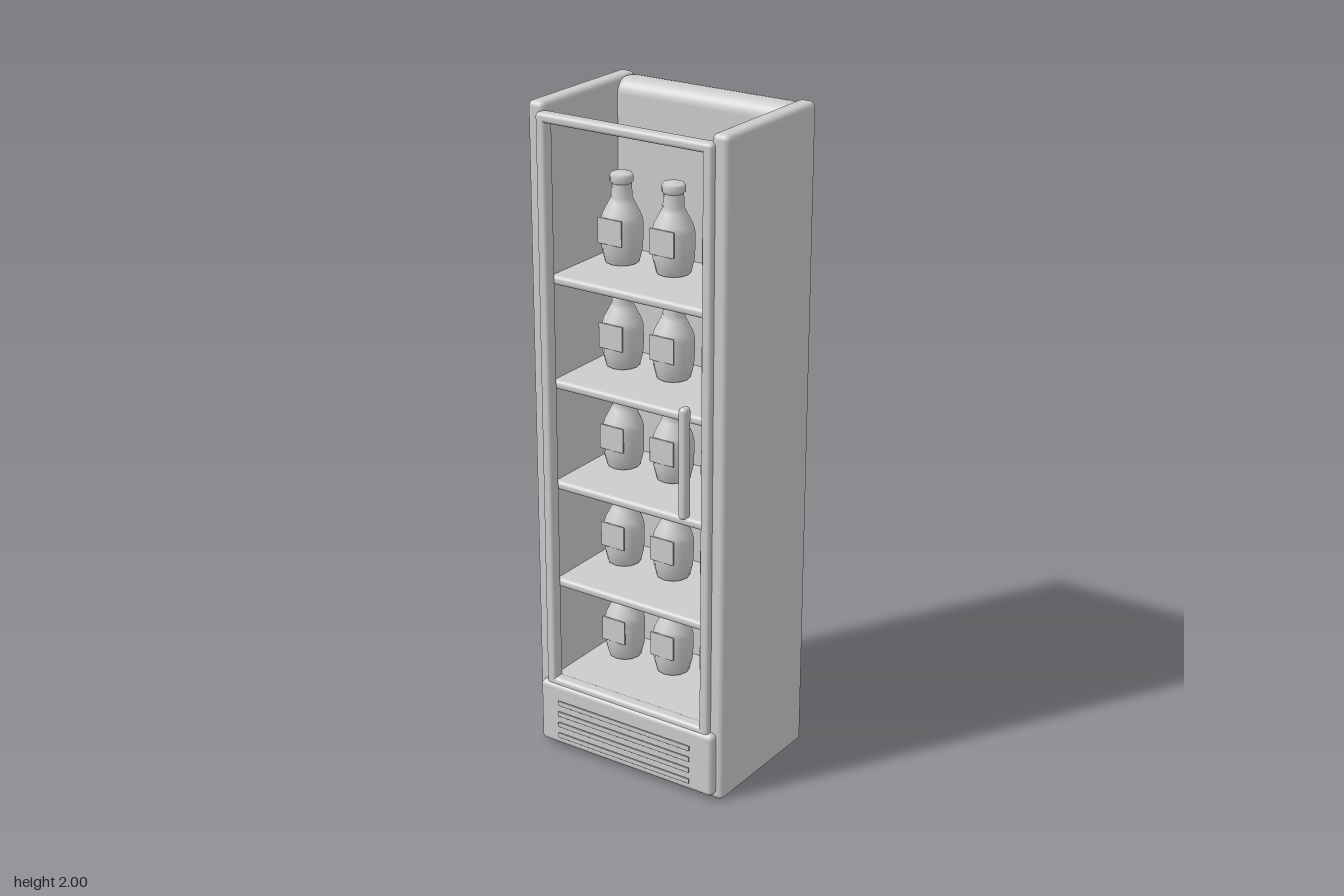
import * as THREE from 'three';
import { RoundedBoxGeometry } from 'three/addons/geometries/RoundedBoxGeometry.js';

export function createModel() {
  const grey = new THREE.MeshStandardMaterial({ color: 0xcccccc });
  grey.name = 'light grey';
  const model = new THREE.Group();
  model.name = 'displayCooler';

  // Rounded box given by its min and max corner
  function block(name, min, max, radius) {
    const s = max.map((v, i) => v - min[i]);
    const mesh = new THREE.Mesh(new RoundedBoxGeometry(s[0], s[1], s[2], 3, radius), grey);
    mesh.position.set(...min.map((v, i) => (v + max[i]) / 2));
    mesh.name = name;
    model.add(mesh);
    return mesh;
  }

  // Cabinet shell, open at the top
  block('leftWall', [0.275, 0, -0.25], [0.33, 2, 0.195], 0.017);
  block('rightWall', [-0.33, 0, -0.25], [-0.275, 2, 0.195], 0.017);
  block('backWall', [-0.305, 0.003, -0.26], [0.305, 1.997, -0.153], 0.045);
  block('floor', [-0.29, 0.01, -0.21], [0.29, 0.235, 0.185], 0.01);

  // Door frame
  block('leftStile', [0.259, 0.21, 0.172], [0.29, 1.975, 0.213], 0.01);
  block('rightStile', [-0.29, 0.21, 0.172], [-0.259, 1.975, 0.213], 0.01);
  block('topRail', [-0.29, 1.947, 0.172], [0.29, 1.976, 0.213], 0.012);
  block('bottomRail', [-0.29, 0.205, 0.172], [0.29, 0.236, 0.213], 0.012);
  block('handle', [0.212, 0.9, 0.222], [0.238, 1.235, 0.255], 0.011);

  // Base panel with its row of vent strips
  block('basePanel', [-0.31, 0.018, 0.165], [0.31, 0.22, 0.22], 0.015);
  for (let i = 0; i < 4; i++) {
    const y = 0.055 + i * 0.0365;
    block('ventStrip', [-0.238, y - 0.008, 0.226], [0.238, y + 0.008, 0.231], 0.002);
  }

  // Bottle body with neck and cap
  const bottleProfile = [
    [0, 0], [0.044, 0], [0.05, 0.004], [0.059, 0.04], [0.061, 0.07], [0.061, 0.125],
    [0.056, 0.145], [0.037, 0.182], [0.031, 0.195], [0.029, 0.235]
  ].map(([r, y]) => new THREE.Vector2(r, y));
  const capProfile = [
    [0.029, 0.235], [0.034, 0.24], [0.034, 0.257], [0.03, 0.264], [0, 0.267]
  ].map(([r, y]) => new THREE.Vector2(r, y));
  const bottleGeometry = new THREE.LatheGeometry(bottleProfile, 12);
  const capGeometry = new THREE.LatheGeometry(capProfile, 12);
  const labelGeometry = new RoundedBoxGeometry(0.084, 0.077, 0.005, 2, 0.002);

  // Shelves, each carrying three bottles
  for (let level = 0; level < 5; level++) {
    const y = 0.236 + level * 0.316;
    if (level > 0) block('shelf', [-0.28, y - 0.028, -0.17], [0.28, y, 0.175], 0.012);
    for (const x of [-0.178, 0, 0.178]) {
      const bottle = new THREE.Group();
      bottle.name = 'bottle';
      const body = new THREE.Mesh(bottleGeometry, grey);
      body.name = 'bottleBody';
      const cap = new THREE.Mesh(capGeometry, grey);
      cap.name = 'bottleCap';
      const label = new THREE.Mesh(labelGeometry, grey);
      label.name = 'bottleLabel';
      label.position.set(0, 0.103, 0.059);
      bottle.add(body, cap, label);
      bottle.position.set(x, y, -0.037);
      model.add(bottle);
    }
  }
  return model;
}
